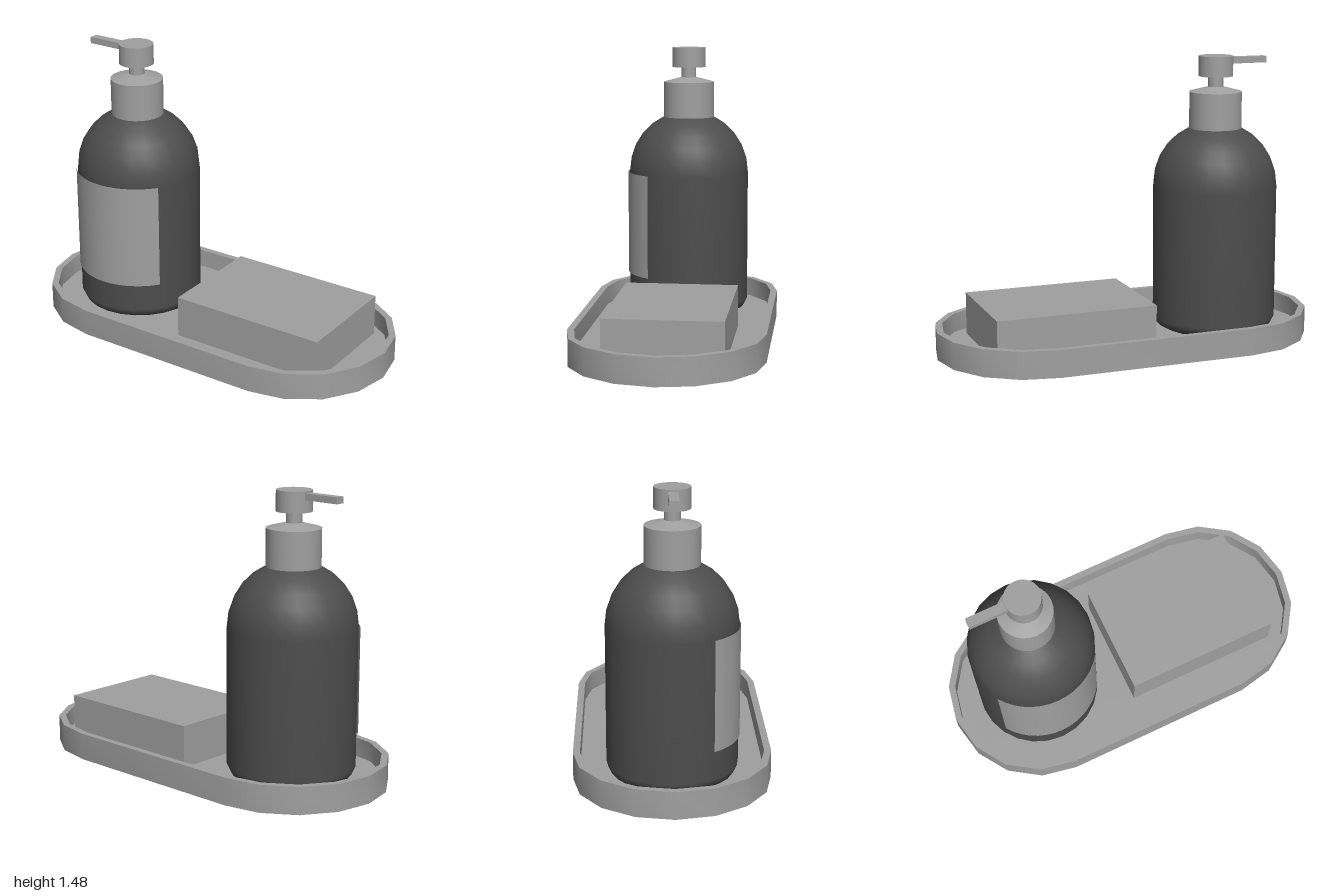
import * as THREE from 'three';
import { toCreasedNormals } from 'three/addons/utils/BufferGeometryUtils.js';

export function createModel() {
  const model = new THREE.Group();
  model.name = 'soapDispenserSet';
  const paleGrey = new THREE.MeshStandardMaterial({ name: 'paleGrey', color: 0xa0a0a0 });
  const darkGrey = new THREE.MeshStandardMaterial({ name: 'darkGrey', color: 0x4d4d4d });

  const add = (name, geometry, material, parent, x = 0, y = 0, z = 0) => {
    const mesh = new THREE.Mesh(geometry, material);
    mesh.name = name;
    mesh.position.set(x, y, z);
    parent.add(mesh);
    return mesh;
  };

  // Tray: stadium outline with a raised rim around a thin floor
  const stadium = (Type, radius) => {
    const s = new Type();
    s.absarc(0.51, 0, radius, -Math.PI / 2, Math.PI / 2, false);
    s.absarc(-0.51, 0, radius, Math.PI / 2, Math.PI * 1.5, false);
    s.closePath();
    return s;
  };
  const slab = (shape, depth) => {
    const g = new THREE.ExtrudeGeometry(shape, { depth, bevelEnabled: false, curveSegments: 4 });
    g.rotateX(-Math.PI / 2);
    return toCreasedNormals(g, 0.6);
  };
  const tray = new THREE.Group();
  tray.name = 'tray';
  model.add(tray);
  const rimShape = stadium(THREE.Shape, 0.49);
  rimShape.holes.push(stadium(THREE.Path, 0.455));
  add('trayRim', slab(rimShape, 0.14), paleGrey, tray);
  add('trayFloor', slab(stadium(THREE.Shape, 0.455), 0.04), paleGrey, tray);

  // Soap bar
  add('soapBar', new THREE.BoxGeometry(0.835, 0.22, 0.59), paleGrey, model, 0.358, 0.15, -0.013);

  // Bottle body: rounded foot, straight wall and elliptical shoulder
  const dispenser = new THREE.Group();
  dispenser.name = 'dispenser';
  dispenser.position.x = -0.51;
  model.add(dispenser);
  const profile = [[0, 0.04], [0.27, 0.04], [0.305, 0.058], [0.325, 0.1]]
    .map(([r, y]) => new THREE.Vector2(r, y));
  for (let i = 0; i <= 5; i++) {
    const a = (i / 5) * 1.14;
    profile.push(new THREE.Vector2(0.325 * Math.cos(a), 0.8 + 0.33 * Math.sin(a)));
  }
  add('bottle', new THREE.LatheGeometry(profile, 24), darkGrey, dispenser);

  // Label wrapped around the front of the bottle
  const labelMaterial = paleGrey.clone();
  labelMaterial.name = 'labelGrey';
  labelMaterial.side = THREE.DoubleSide;
  const label = new THREE.CylinderGeometry(0.331, 0.331, 0.555, 14, 1, true, -0.95, 1.9);
  add('label', label, labelMaterial, dispenser, 0, 0.5225, 0);

  // Pump: collar, sloped cap, stem and head
  const disc = (name, rTop, rBottom, y0, y1) => add(name,
    new THREE.CylinderGeometry(rTop, rBottom, y1 - y0, 24), paleGrey, dispenser, 0, (y0 + y1) / 2, 0);
  disc('collar', 0.137, 0.137, 1.09, 1.29);
  disc('collarCap', 0.04, 0.137, 1.29, 1.315);
  disc('stem', 0.04, 0.04, 1.30, 1.38);
  disc('pumpHead', 0.09, 0.09, 1.37, 1.475);

  // Spout pointing to the side
  add('spout', new THREE.BoxGeometry(0.22, 0.033, 0.048), paleGrey, dispenser, -0.17, 1.449, 0);

  return model;
}
